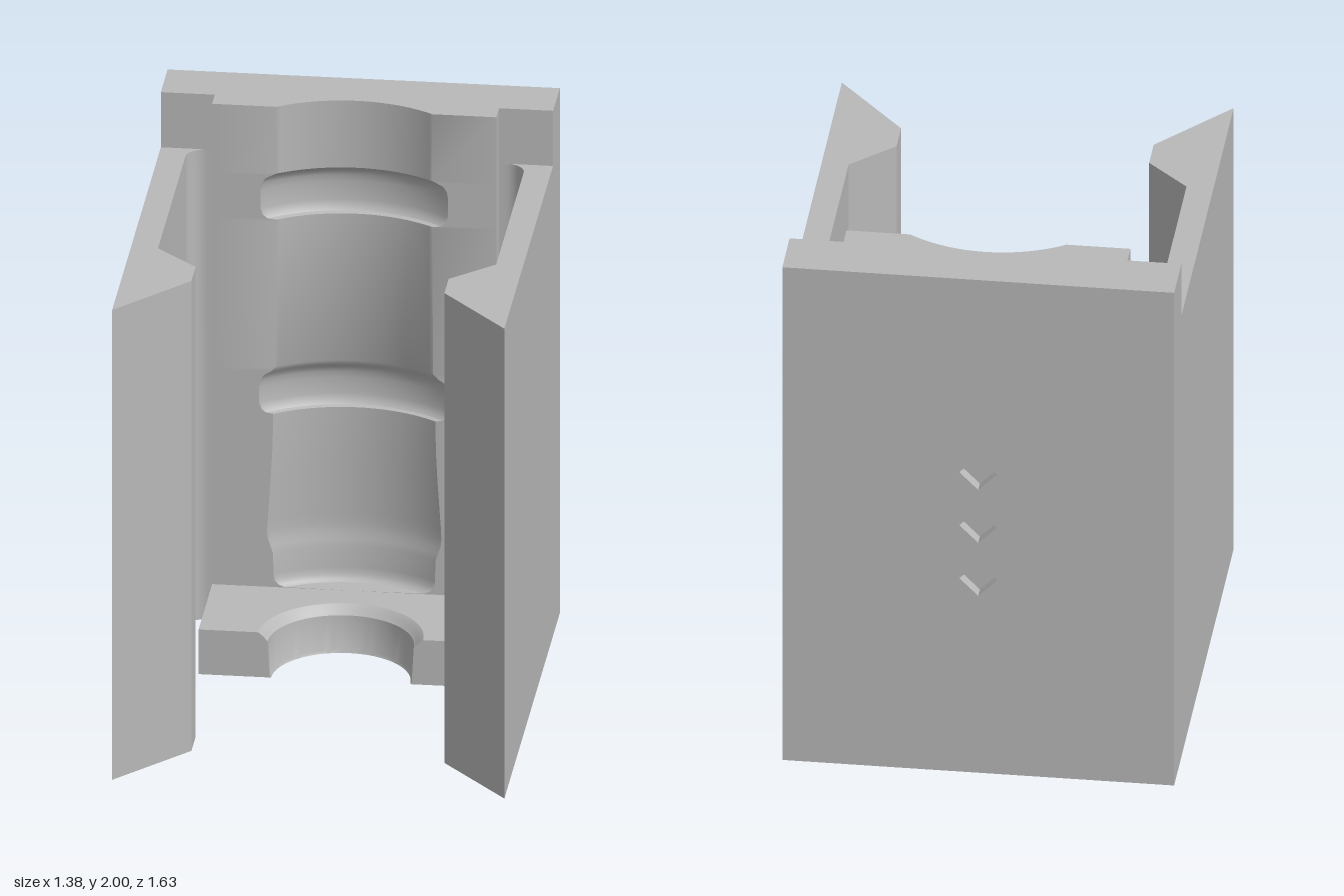
import * as THREE from 'three';
import { toCreasedNormals } from 'three/addons/utils/BufferGeometryUtils.js';

const AXIS_Z = -0.14; // vertical axis of the bottle-shaped recess
const HALF_W = 0.5, HALF_X = 0.69, PLATE_Z = -0.775;

// Block whose front face is carved by a turned profile; rows are [height, half chord at the face].
function carvedBlock(rows, frontZ, backZ, steps = 40) {
  const d = AXIS_Z - frontZ;
  const loops = rows.map(([y, h]) => {
    const r = Math.hypot(h, d), a = Math.atan2(h, d);
    const front = [[-HALF_W, frontZ]];
    for (let i = 0; i <= steps; i++) {
      const t = -a + (2 * a * i) / steps;
      front.push([r * Math.sin(t), AXIS_Z - r * Math.cos(t)]);
    }
    front.push([HALF_W, frontZ]);
    const back = front.map(([x]) => [x, backZ]).reverse();
    return [...front, ...back].map(([x, z]) => [x, y, z]);
  });
  const n = loops[0].length, pos = [];
  const quad = (a, b, c, e) => pos.push(...a, ...b, ...c, ...a, ...c, ...e);
  for (let k = 0; k + 1 < loops.length; k++) {
    const lo = loops[k], hi = loops[k + 1];
    for (let i = 0; i < n; i++) {
      const j = (i + 1) % n;
      quad(lo[i], lo[j], hi[j], hi[i]);
    }
  }
  const bottom = loops[0], top = loops[loops.length - 1];
  for (let i = 0; i + 1 < n / 2; i++) {
    quad(top[i], top[i + 1], top[n - 2 - i], top[n - 1 - i]);
    quad(bottom[n - 1 - i], bottom[n - 2 - i], bottom[i + 1], bottom[i]);
  }
  const g = new THREE.BufferGeometry();
  g.setAttribute('position', new THREE.Float32BufferAttribute(pos, 3));
  return toCreasedNormals(g, 0.6);
}

// Side wall with a rounded inner corner and a hooked front lip.
function wallGeometry(s) {
  const p = new THREE.Shape();
  const line = (x, z) => p.lineTo(s * x, -z);
  p.moveTo(s * HALF_X, -PLATE_Z);
  line(HALF_X, 0.815);
  line(0.445, 0.53);
  line(0.445, 0.405);
  line(0.595, 0.26);
  line(0.595, -0.55);
  p.bezierCurveTo(s * 0.595, 0.589, s * 0.564, 0.62, s * 0.525, 0.62);
  line(HALF_W, -0.62);
  line(HALF_W, PLATE_Z);
  const g = new THREE.ExtrudeGeometry(p, { depth: 1.79, bevelEnabled: false, curveSegments: 10 });
  return toCreasedNormals(g.rotateX(-Math.PI / 2), 0.5);
}

// Rear skin with three diamond-shaped pockets.
function backPlateGeometry() {
  const p = new THREE.Shape();
  p.moveTo(-HALF_X, 0);
  p.lineTo(HALF_X, 0);
  p.lineTo(HALF_X, 2);
  p.lineTo(-HALF_X, 2);
  p.closePath();
  for (const y of [0.785, 1, 1.215]) {
    const q = 0.067, hole = new THREE.Path();
    hole.moveTo(q, y);
    hole.lineTo(0, y - q);
    hole.lineTo(-q, y);
    hole.lineTo(0, y + q);
    hole.closePath();
    p.holes.push(hole);
  }
  return new THREE.ExtrudeGeometry(p, { depth: 0.045, bevelEnabled: false }).translate(0, 0, -0.82);
}

export function createModel() {
  const group = new THREE.Group();
  const grey = new THREE.MeshStandardMaterial({ color: 0xb8b8b8 });
  grey.name = 'grey plastic';
  const add = (name, geometry) => {
    const mesh = new THREE.Mesh(geometry, grey);
    mesh.name = name;
    group.add(mesh);
    return mesh;
  };

  add('backPlate', backPlateGeometry());

  // Rounded ring groove between two heights
  const ring = (y0, y1, base, out) => [
    [y0, base], [y0 + 0.004, out - 0.025], [y0 + 0.015, out - 0.01], [y0 + 0.04, out],
    [y1 - 0.06, out], [y1 - 0.035, out - 0.004], [y1 - 0.015, out - 0.017], [y1, base + 0.01],
  ];
  const recess = [
    [0, 0], [0.17, 0], [0.172, 0.245], [0.18, 0.265], [0.195, 0.28], [0.22, 0.284],
    [0.3, 0.286], [0.325, 0.294], [0.35, 0.303], [0.38, 0.307], [0.42, 0.305],
    [0.6, 0.293], [0.7, 0.288], [0.82, 0.285],
    ...ring(0.83, 0.99, 0.285, 0.335),
    [1.01, 0.277], [1.56, 0.275],
    ...ring(1.57, 1.74, 0.275, 0.33),
    [1.745, 0.275], [2, 0.275],
  ];
  add('recessedBlock', carvedBlock(recess, -0.54, PLATE_Z));

  // Neck shelf with a half-round cutout and flared rim
  const neck = [[0, 0.245], [0.01, 0.25], [0.138, 0.257], [0.142, 0.262], [0.155, 0.272], [0.17, 0.29]];
  add('neckShelf', carvedBlock(neck, AXIS_Z, -0.54));

  for (const [s, side] of [[1, 'left'], [-1, 'right']]) {
    add(side + 'Wall', wallGeometry(s));
    const ear = add(side + 'Ear', new THREE.BoxGeometry(0.19, 0.21, 0.155));
    ear.position.set(s * 0.595, 1.895, -0.6975);
  }
  return group;
}
